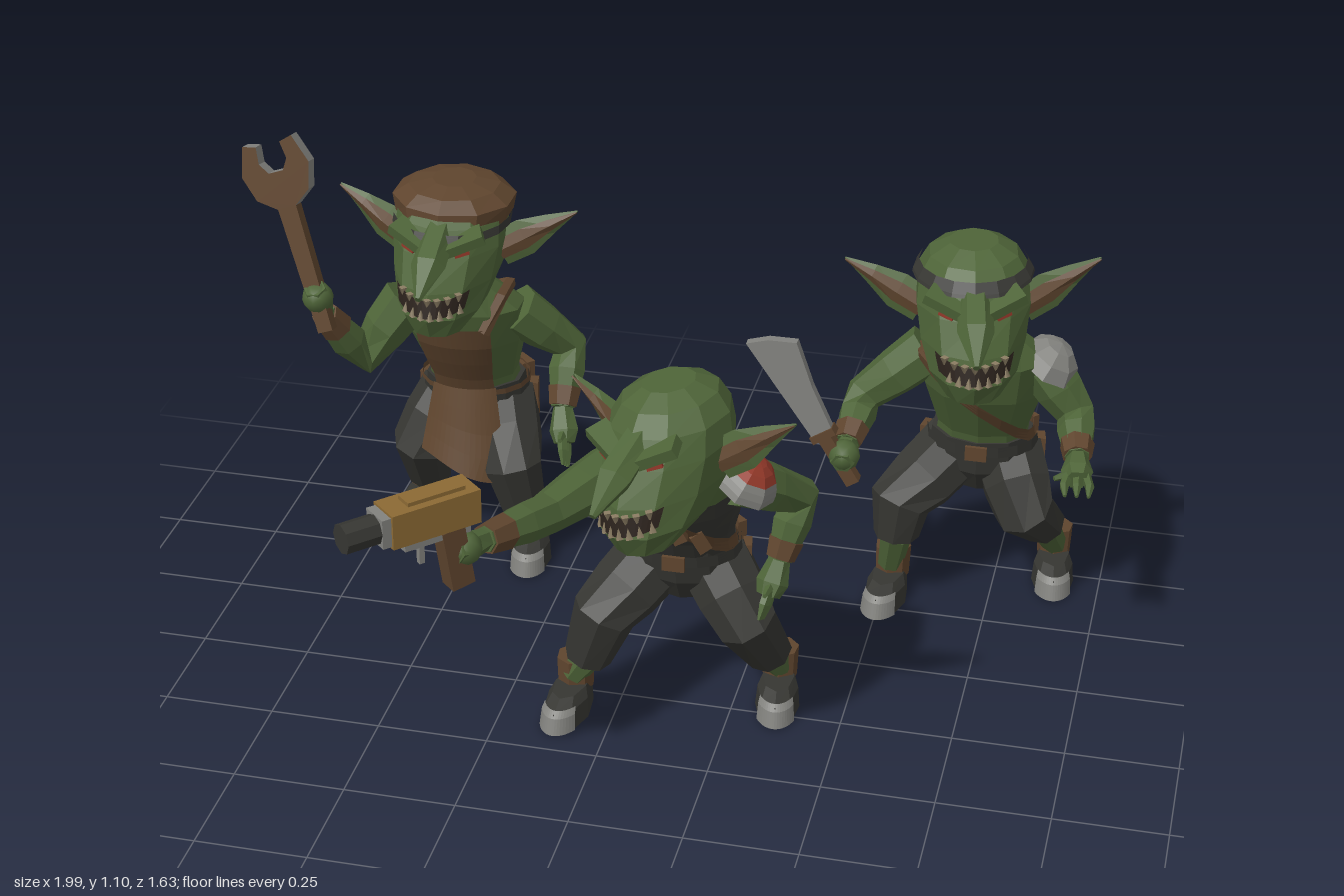
import * as THREE from 'three';

const mat = (name, color, side = THREE.FrontSide) => {
  const m = new THREE.MeshStandardMaterial({ color, side });
  m.name = name;
  return m;
};
const V = (a) => new THREE.Vector3(...a);

// Joins rows of points into a faceted skin
function skin(rows, closed = true) {
  const out = [], n = rows[0].length;
  const tri = (...p) => p.forEach((v) => out.push(v.x, v.y, v.z));
  for (let i = 0; i < rows.length - 1; i++)
    for (let j = 0; j < (closed ? n : n - 1); j++) {
      const k = (j + 1) % n, a = rows[i], b = rows[i + 1];
      tri(a[j], a[k], b[k]);
      tri(a[j], b[k], b[j]);
    }
  if (closed) {
    const s = rows[0], e = rows[rows.length - 1];
    for (let j = 1; j < n - 1; j++) { tri(s[0], s[j + 1], s[j]); tri(e[0], e[j], e[j + 1]); }
  }
  const g = new THREE.BufferGeometry();
  g.setAttribute('position', new THREE.Float32BufferAttribute(out, 3));
  g.computeVertexNormals();
  return g;
}

// Body surface from level rings [y, cx, cz, rx, rz]
function surf(rings, y, th, inf = 0) {
  let i = 0;
  while (i < rings.length - 2 && y > rings[i + 1][0]) i++;
  const a = rings[i], b = rings[i + 1], t = Math.min(1, Math.max(0, (y - a[0]) / (b[0] - a[0])));
  const m = a.map((q, k) => q + (b[k] - q) * t);
  return new THREE.Vector3(m[1] + (m[3] + inf) * Math.sin(th), y, m[2] + (m[4] + inf) * Math.cos(th));
}
const loft = (rings, n = 10) => skin(rings.map((r) =>
  Array.from({ length: n }, (_, j) => surf([r, [r[0] + 1, ...r.slice(1)]], r[0], (j / n) * 2 * Math.PI))));

// Thin layer lying on a body surface
function band(rings, t0, t1, lo, hi, inf = 0.006) {
  const f = (q, t) => (typeof q === 'function' ? q(t) : q);
  return skin([0, 0.25, 0.5, 0.75, 1].map((v) => Array.from({ length: 17 }, (_, j) => {
    const t = t0 + ((t1 - t0) * j) / 16;
    return surf(rings, f(lo, t) * (1 - v) + f(hi, t) * v, t, inf);
  })), false);
}

// Tapered limb through points [x, y, z, r, r2]
function limb(pts, n = 7, ref = null) {
  const c = pts.map((p) => V(p.slice(0, 3)));
  const all = c[c.length - 1].clone().sub(c[0]).normalize();
  const r = ref ? V(ref) : Math.abs(all.y) > 0.6 ? V([0, 0, 1]) : V([0, 1, 0]);
  return skin(c.map((p, i) => {
    const t = c[Math.min(i + 1, c.length - 1)].clone().sub(c[Math.max(i - 1, 0)]).normalize();
    const a = r.clone().cross(t).normalize(), b = t.clone().cross(a);
    return Array.from({ length: n }, (_, j) => {
      const q = (j / n) * 2 * Math.PI, ra = pts[i][3], rb = pts[i][4] ?? ra;
      return p.clone().addScaledVector(a, ra * Math.cos(q)).addScaledVector(b, rb * Math.sin(q));
    });
  }));
}
const lerp = (a, b, t) => a.map((q, i) => q + (b[i] - q) * t);
const PI = Math.PI;

export function createModel() {
  const M = {
    skin: mat('green skin', 0x4e6438), cloth: mat('charcoal cloth', 0x363632),
    leather: mat('brown leather', 0x5f452e, THREE.DoubleSide), metal: mat('grey metal', 0x82827e),
    red: mat('red paint', 0x94392a), brass: mat('ochre casing', 0x8c6a34),
    tooth: mat('dull teeth', 0x8a7c62), dark: mat('mouth black', 0x2a211b),
  };
  const add = (g, name, geo, m, pos, rot) => {
    const o = new THREE.Mesh(geo, m);
    o.name = name;
    if (pos) o.position.set(...pos);
    if (rot) o.rotation.set(...rot);
    g.add(o);
    return o;
  };
  const box = (...s) => new THREE.BoxGeometry(...s);
  const group = (parent, name) => { const g = new THREE.Group(); g.name = name; parent.add(g); return g; };

  function head(parent, c) {
    const g = group(parent, 'head');
    g.position.set(...c.head);
    g.rotation.set(...c.turn, 'YXZ');
    const R = [[-0.15, 0, 0.12, 0.06, 0.065], [-0.1, 0, 0.075, 0.1, 0.135], [-0.04, 0, 0.025, 0.12, 0.17],
      [0.03, 0, 0.002, 0.13, 0.155], [0.085, 0, -0.012, 0.125, 0.135], [0.125, 0, -0.02, 0.1, 0.108], [0.15, 0, -0.02, 0.055, 0.06]];
    add(g, 'skull', loft(R), M.skin);
    add(g, 'nose', limb([[0, 0.08, 0.07, 0.036], [0, 0.03, 0.19, 0.04, 0.034], [0, -0.015, 0.27, 0.008]], 6), M.skin);
    // Wide grin with two rows of teeth
    const smile = (y) => (t) => y + 0.03 * t * t;
    add(g, 'mouth', band(R, -0.75, 0.75, smile(-0.092), smile(-0.052), 0.004), M.dark);
    for (let i = -3; i <= 3; i++) for (const up of [0, 1]) {
      const t = (i + up * 0.4) * 0.19, p = surf(R, smile(up ? -0.084 : -0.06)(t), t, 0.003);
      add(g, 'tooth', new THREE.ConeGeometry(0.01, 0.024, 4).toNonIndexed(), M.tooth, p.toArray(), [up ? 0 : PI, 0, 0]);
    }
    for (const s of [-1, 1]) {
      add(g, 'brow', box(0.09, 0.024, 0.05), M.skin, [s * 0.062, 0.066, 0.118], [0.2, s * 0.4, s * 0.3]);
      add(g, 'eye', box(0.034, 0.011, 0.009), M.red, [s * 0.062, 0.043, 0.134], [0, s * 0.45, s * 0.25]);
      const ear = (k, z, th) => limb([[s * 0.11, -0.005, -0.01 + z, 0.042 * k, th], [s * 0.165, 0.025, -0.025 + z, 0.044 * k, th],
        [s * 0.22, 0.058, -0.04 + z, 0.024 * k, th], [s * 0.28, 0.09, -0.055 + z, 0.002, 0.002]], 4, [0, 0, 1]);
      add(g, 'ear', ear(1, 0, 0.014), M.skin);
      add(g, 'innerEar', ear(0.55, 0.009, 0.008), M.leather);
    }
    if (c.cap) {
      add(g, 'cap', loft([[0.075, 0, -0.025, 0.134, 0.135], [0.115, 0, -0.025, 0.142, 0.132], [0.14, 0, -0.025, 0.105, 0.105], [0.153, 0, -0.025, 0.05, 0.055]]), M.leather);
      add(g, 'capRim', band(R, 0, 2 * PI, 0.062, 0.08, 0.008), M.cloth);
    }
    if (c.headband) {
      add(g, 'headband', band(R, 0, 2 * PI, 0.08, 0.108, 0.008), M.cloth);
      for (const s of [-1, 1]) add(g, 'headbandTail', limb([[0, 0.09, -0.14, 0.008], [s * 0.03, 0.06, -0.17, 0.014, 0.005], [s * 0.035, 0.02, -0.165, 0.005]], 4), M.cloth);
    }
  }

  function arm(parent, name, [sh, el, wr, hd], grip) {
    const g = group(parent, name);
    add(g, 'armSkin', limb([[...sh, 0.062], [...lerp(sh, el, 0.5), 0.056], [...el, 0.045], [...lerp(el, wr, 0.4), 0.044], [...wr, 0.028]]), M.skin);
    add(g, 'bracer', limb([[...lerp(el, wr, 0.68), 0.04], [...lerp(el, wr, 0.98), 0.033]]), M.leather);
    const d = V(hd).sub(V(wr)).normalize(), at = (k) => V(hd).addScaledVector(d, k);
    const side = d.clone().cross(V(Math.abs(d.y) > 0.7 ? [1, 0, 0] : [0, 1, 0])).normalize();
    add(g, 'palm', limb([[...wr, 0.024], [...hd, 0.036, 0.03], [...at(0.03).toArray(), 0.026]], 6), M.skin);
    if (grip) {
      add(g, 'fist', new THREE.IcosahedronGeometry(0.037, 1), M.skin, hd);
      return;
    }
    for (const i of [-1, 0, 1]) {
      const a = at(0.015).addScaledVector(side, i * 0.02), b = at(0.05).addScaledVector(side, i * 0.028), e = at(0.085).addScaledVector(side, i * 0.026);
      add(g, 'finger', limb([[...a.toArray(), 0.012], [...b.toArray(), 0.011], [...e.toArray(), 0.004]], 5), M.skin);
    }
    const th = at(0.03).addScaledVector(side, 0.05);
    add(g, 'thumb', limb([[...hd, 0.014], [...th.toArray(), 0.006]], 5), M.skin);
  }

  function leg(parent, name, hip, knee, cuff, [fx, fz], s) {
    const g = group(parent, name);
    add(g, 'trouserLeg', limb([[...hip, 0.085], [...lerp(hip, knee, 0.6), 0.082], [...knee, 0.072], [...cuff, 0.054]], 8), M.cloth);
    add(g, 'shin', limb([[...cuff, 0.038], [fx, 0.08, fz - 0.01, 0.03]]), M.skin);
    const f = group(g, 'boot');
    f.position.set(fx, 0, fz);
    f.rotation.y = s * 0.12;
    const R = [[0, 0, 0.028, 0.05, 0.1], [0.045, 0, 0.022, 0.046, 0.093], [0.065, 0, 0.005, 0.036, 0.07]];
    add(f, 'shoe', loft(R, 8), M.cloth);
    add(f, 'toeCap', band(R, -0.9, 0.9, 0.002, 0.052, 0.004), M.metal);
    add(f, 'bootCuff', loft([[0.045, 0, -0.025, 0.04, 0.042], [0.122, 0, -0.025, 0.043, 0.044]], 7), M.leather);
  }

  // Shared body, posed by joint positions
  function goblin(name, c) {
    const g = group(root, name), [x, z] = c.hip;
    const at = (y, k, rx, rz) => [y, x + c.sway * k, z + c.lean * k, rx, rz];
    const T = [at(0.38, 0, 0.115, 0.092), at(0.46, 0.2, 0.107, 0.09), at(0.58, 0.5, 0.14, 0.118), at(0.68, 0.78, 0.15, 0.108), at(0.745, 1, 0.08, 0.07)];
    const P = [[0.29, x, z, 0.06, 0.06], [0.35, x, z, 0.125, 0.1], [0.44, x, z + c.lean * 0.12, 0.12, 0.1]];
    add(g, 'torso', loft(T), M.skin);
    add(g, 'pelvis', loft(P), M.cloth);
    add(g, 'belt', band(P, 0, 2 * PI, 0.405, 0.435, 0.008), M.cloth);
    add(g, 'buckle', box(0.05, 0.035, 0.009), M.leather, surf(P, 0.42, 0, 0.014).toArray());
    for (const s of [-1, 1]) add(g, 'hipTab', box(0.04, 0.1, 0.02), M.leather, surf(P, 0.36, s * 1.75, 0.012).toArray(), [0, s * 1.75, 0]);
    add(g, 'pouch', box(0.055, 0.07, 0.035), M.leather, surf(P, 0.4, 2.4, 0.012).toArray(), [0, 2.4, 0]);
    const n0 = surf(T, 0.7, 0, 0), h = c.head;
    add(g, 'neck', limb([[T[3][1], 0.68, T[3][2], 0.08], [(n0.x + h[0]) / 2, 0.75, (T[4][2] + h[2]) / 2, 0.062], [h[0], h[1] - 0.02, h[2] - 0.03, 0.06]], 8), M.skin);
    if (c.vest) {
      add(g, 'vest', band(T, 0, 2 * PI, 0.43, (t) => 0.665 - 0.055 * Math.cos(t), 0.005), M.cloth);
      add(g, 'waistWrap', band(T, 1.7, 4.5, 0.44, 0.48, 0.012), M.leather);
    }
    if (c.strap) {
      const y = (o) => (t) => 0.565 + o - 0.125 * Math.sin(t), w = c.vest ? 0.025 : 0.018;
      add(g, 'chestStrap', band(T, 0, 2 * PI, y(-w), y(w), 0.011), M.leather);
      if (c.vest) for (const t of [-0.2, 0.15, 0.5]) add(g, 'strapPouch', box(0.03, 0.05, 0.025), M.leather, surf(T, y(0)(t), t, 0.014).toArray(), [0, t, 0.5]);
    }
    if (c.apron) {
      add(g, 'apronBib', band(T, -0.6, 0.6, 0.42, 0.65, 0.016), M.leather);
      const S = [[0.24, x, z, 0.18, 0.2], [0.34, x, z, 0.155, 0.165], [0.45, x, z + 0.02, 0.125, 0.115]];
      add(g, 'apronSkirt', band(S, -0.62, 0.62, (t) => 0.255 - 0.03 * Math.sin(t * 2.5), 0.45), M.leather);
      const mid = surf(T, 0.64, PI, 0.004);
      for (const s of [-1, 1]) {
        const a = surf(T, 0.64, s * 0.5, 0.012), b = surf(T, 0.72, s * 1.2, 0.01), d = surf(T, 0.71, s * 2.2, 0.01);
        add(g, 'apronStrap', limb([a, b, d, mid].map((p) => [...p.toArray(), 0.016, 0.014]), 5), M.leather);
      }
      add(g, 'backStrap', band(T, PI - 0.11, PI + 0.11, 0.44, 0.65, 0.008), M.leather);
      add(g, 'apronTie', band(P, 0, 2 * PI, 0.425, 0.44, 0.012), M.leather);
    }
    head(g, c);
    arm(g, 'rightArm', c.armR, true);
    arm(g, 'leftArm', c.armL, false);
    leg(g, 'rightLeg', [x - 0.06, 0.37, z], ...c.legR, -1);
    leg(g, 'leftLeg', [x + 0.06, 0.37, z], ...c.legL, 1);
    return g;
  }
  const dome = (r, t0, t1) => faceted(new THREE.SphereGeometry(r, 8, 3, 0, 2 * PI, t0, t1).scale(0.9, 0.9, 1).toNonIndexed());
  const faceted = (geo) => { geo.computeVertexNormals(); return geo; };
  // Flat tool outline, extruded and aimed along a direction
  const tool = (pts, depth) => new THREE.ExtrudeGeometry(new THREE.Shape(pts.map((p) => new THREE.Vector2(...p))), { depth, bevelEnabled: false }).translate(0, 0, -depth / 2);
  const aim = (g, pos, dir) => { g.position.set(...pos); g.quaternion.setFromUnitVectors(V([0, 1, 0]), V(dir).normalize()); };

  const root = new THREE.Group();
  root.name = 'goblinGang';

  // Mechanic with cap, apron and wrench
  const a = goblin('mechanic', {
    hip: [-0.515, -0.66], lean: 0.15, sway: 0, head: [-0.505, 0.87, -0.44], turn: [0, 0, -0.02], cap: true, apron: true,
    armR: [[-0.65, 0.66, -0.55], [-0.75, 0.52, -0.5], [-0.805, 0.68, -0.39], [-0.81, 0.73, -0.37]],
    armL: [[-0.39, 0.66, -0.56], [-0.28, 0.54, -0.63], [-0.275, 0.42, -0.54], [-0.265, 0.375, -0.51]],
    legR: [[-0.64, 0.26, -0.59], [-0.65, 0.125, -0.67], [-0.675, -0.7]],
    legL: [[-0.395, 0.26, -0.52], [-0.375, 0.125, -0.55], [-0.36, -0.56]],
  });
  const wr = group(a, 'wrench');
  aim(wr, [-0.785, 0.655, -0.355], [-0.13, 0.37, -0.08]);
  const half = [[0.023, 0.3], [0.066, 0.33], [0.085, 0.39], [0.062, 0.458], [0.03, 0.45], [0.035, 0.41], [0.018, 0.385]];
  add(wr, 'wrenchHandle', tool([[-0.018, 0], [0.018, 0], [0.023, 0.3], [-0.023, 0.3]], 0.032), M.leather);
  add(wr, 'wrenchJaw', tool([...half, ...half.map(([u, v]) => [-u, v]).reverse()], 0.036), [M.leather, M.metal]);

  // Gunner with vest and painted shoulder plate
  const b = goblin('gunner', {
    hip: [0.135, -0.04], lean: 0.2, sway: 0, head: [0.185, 0.845, 0.34], turn: [0.06, -0.41, 0.12], vest: true, strap: true,
    armR: [[0.01, 0.66, 0.13], [-0.08, 0.66, 0.34], [-0.16, 0.695, 0.53], [-0.185, 0.705, 0.585]],
    armL: [[0.27, 0.66, 0.11], [0.385, 0.55, -0.04], [0.355, 0.42, 0.02], [0.345, 0.375, 0.045]],
    legR: [[-0.025, 0.26, 0.07], [-0.065, 0.135, 0.06], [-0.1, 0.07]],
    legL: [[0.285, 0.26, 0.03], [0.325, 0.135, -0.05], [0.345, -0.07]],
  });
  const sp = group(b, 'shoulderPlate');
  sp.position.set(0.288, 0.655, 0.125);
  sp.rotation.z = -0.5;
  add(sp, 'plateTop', dome(0.084, 0, PI * 0.28), M.red);
  add(sp, 'plateRim', dome(0.084, PI * 0.28, PI * 0.2), M.metal);
  const gun = group(b, 'pistol');
  gun.position.set(-0.24, 0.81, 0.645);
  gun.rotation.y = -0.76;
  add(gun, 'casing', box(0.075, 0.075, 0.2), M.brass, [0, 0.005, 0]);
  add(gun, 'topRail', box(0.04, 0.012, 0.13), M.brass, [0, 0.045, -0.01]);
  add(gun, 'collar', box(0.064, 0.064, 0.024), M.metal, [0, 0.005, 0.108]);
  add(gun, 'barrel', faceted(new THREE.CylinderGeometry(0.032, 0.032, 0.08, 8).toNonIndexed()), M.cloth, [0, 0.005, 0.155], [PI / 2, 0, 0]);
  add(gun, 'underFrame', box(0.04, 0.025, 0.15), M.metal, [0, -0.045, -0.01]);
  add(gun, 'grip', box(0.044, 0.14, 0.052), M.leather, [0, -0.11, -0.055], [0.15, 0, 0]);
  add(gun, 'triggerGuard', box(0.012, 0.05, 0.012), M.metal, [0, -0.08, 0.02]);

  // Brawler with headband, shoulder plate and cleaver
  const c = goblin('brawler', {
    hip: [0.705, -0.67], lean: 0.14, sway: 0.01, head: [0.69, 0.86, -0.42], turn: [0, 0.17, 0.03], headband: true, strap: true,
    armR: [[0.58, 0.66, -0.58], [0.44, 0.54, -0.55], [0.425, 0.48, -0.42], [0.425, 0.47, -0.38]],
    armL: [[0.84, 0.66, -0.57], [0.925, 0.55, -0.55], [0.945, 0.51, -0.42], [0.95, 0.5, -0.375]],
    legR: [[0.535, 0.27, -0.55], [0.53, 0.18, -0.55], [0.515, -0.57]],
    legL: [[0.82, 0.27, -0.58], [0.86, 0.18, -0.68], [0.885, -0.75]],
  });
  add(c, 'shoulderPlate', dome(0.084, 0, PI * 0.46), M.metal, [0.845, 0.65, -0.565], [0, 0, -0.5]);
  const cl = group(c, 'cleaver');
  aim(cl, [0.45, 0.405, -0.378], [-0.22, 0.34, -0.01]);
  add(cl, 'cleaverHandle', box(0.032, 0.14, 0.03), M.leather, [0, 0.07, 0]);
  add(cl, 'cleaverGuard', box(0.06, 0.018, 0.035), M.leather, [0, 0.135, 0]);
  add(cl, 'cleaverBlade', tool([[-0.025, 0.13], [0.025, 0.13], [0.04, 0.25], [0.065, 0.36], [0.01, 0.395], [-0.04, 0.41]], 0.024), M.metal);
  return root;
}
